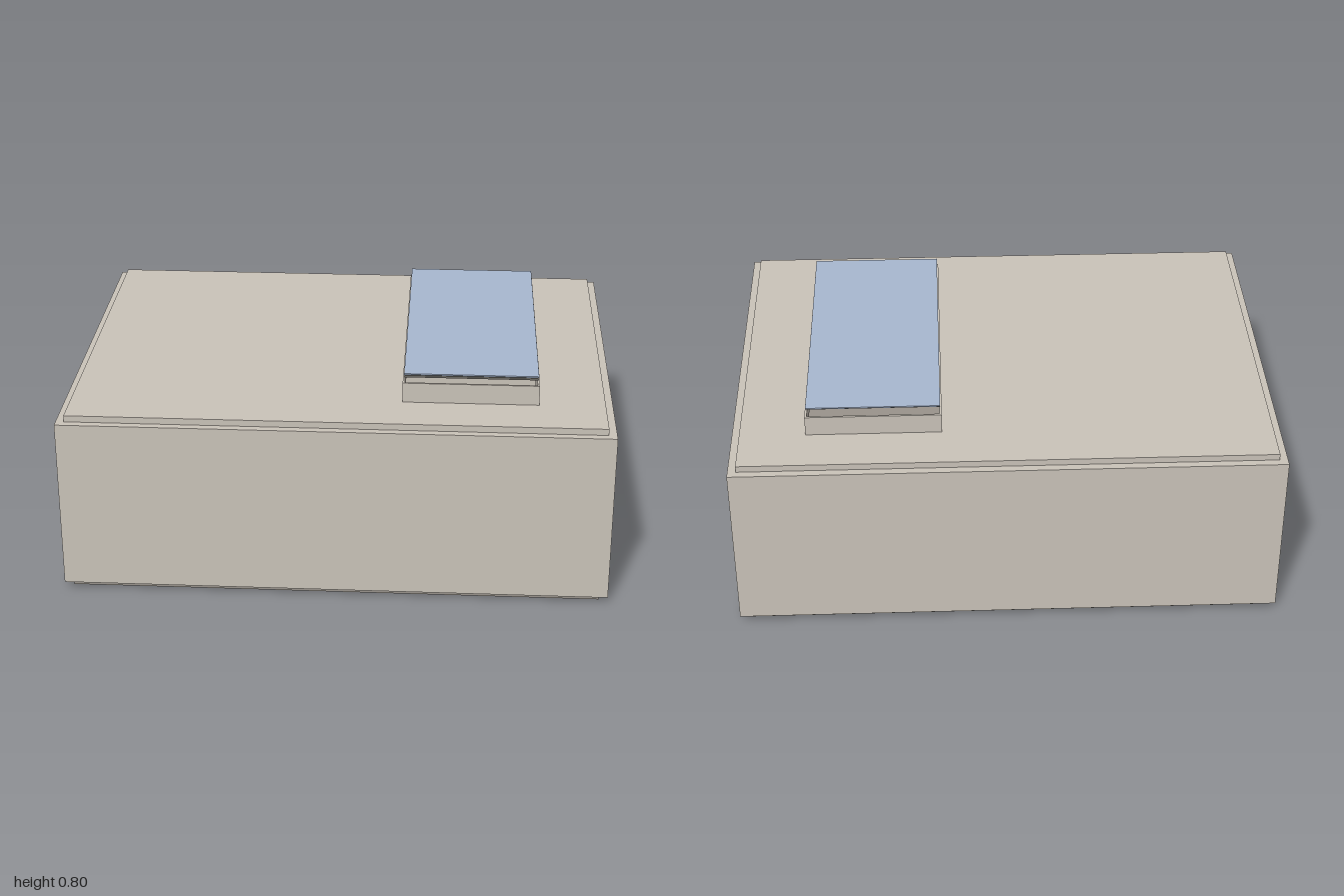
import * as THREE from 'three';

export function createModel() {
  const model = new THREE.Group();
  const mat = (name, color) => {
    const m = new THREE.MeshStandardMaterial({ color });
    m.name = name;
    return m;
  };
  const panel = mat('warm grey panel', 0xcbc4ba);
  const base = mat('dark grey floor', 0x9a948c);
  const glass = mat('blue glass', 0xa8b8d0);
  const metal = mat('dark metal', 0x6a6862);

  // Box given by its extents on each axis
  const box = (name, material, [x0, x1], [y0, y1], [z0, z1], parent = model) => {
    const mesh = new THREE.Mesh(new THREE.BoxGeometry(x1 - x0, y1 - y0, z1 - z0), material);
    mesh.position.set((x0 + x1) / 2, (y0 + y1) / 2, (z0 + z1) / 2);
    mesh.name = name;
    parent.add(mesh);
    return mesh;
  };
  // Ordered extent on the positive or negative side of an axis
  const side = (s, a, b) => (s > 0 ? [a, b] : [-b, -a]);

  const X = 0.97, Z = 0.728;             // inner faces of the walls
  const wallY = [0.025, 0.668], roofY = [0.668, 0.692];
  const open = { x0: 0.24, x1: 0.725, z: 0.53 }; // roof opening

  box('floor', base, [-X, X], [0, 0.025], [-Z, Z]);

  // Hollow room: long walls cover the ends of the short walls
  for (const s of [1, -1]) {
    box(s > 0 ? 'frontWall' : 'backWall', panel, [-1, 1], wallY, side(s, Z, 0.757));
    box(s > 0 ? 'leftWall' : 'rightWall', panel, side(s, X, 1), wallY, [-Z, Z]);
  }

  // Roof slabs around the skylight opening
  const roof = new THREE.Group();
  roof.name = 'roof';
  model.add(roof);
  box('roofMain', panel, [-X, open.x0], roofY, [-Z, Z], roof);
  box('roofEdge', panel, [open.x1, X], roofY, [-Z, Z], roof);
  for (const s of [1, -1]) {
    box(s > 0 ? 'roofFront' : 'roofBack', panel, [open.x0, open.x1], roofY, side(s, open.z, Z), roof);
  }

  // Skylight: raised curb, cross bars and a floating pane
  const skylight = new THREE.Group();
  skylight.name = 'skylight';
  model.add(skylight);
  const curbY = [0.692, 0.767];
  for (const s of [1, -1]) {
    box('curbEnd', panel, [0.235, 0.73], curbY, side(s, 0.533, 0.541), skylight);
  }
  box('curbSide', panel, [0.235, 0.243], curbY, [-0.533, 0.533], skylight);
  box('curbSide', panel, [0.722, 0.73], curbY, [-0.533, 0.533], skylight);
  for (let i = -2; i <= 2; i++) {
    const z = i * 0.243;
    box('glazingBar', metal, [0.24, 0.726], [0.767, 0.775], [z - 0.003, z + 0.003], skylight);
  }
  box('pane', glass, [0.24, 0.726], [0.794, 0.799], [-0.528, 0.528], skylight);

  return model;
}
